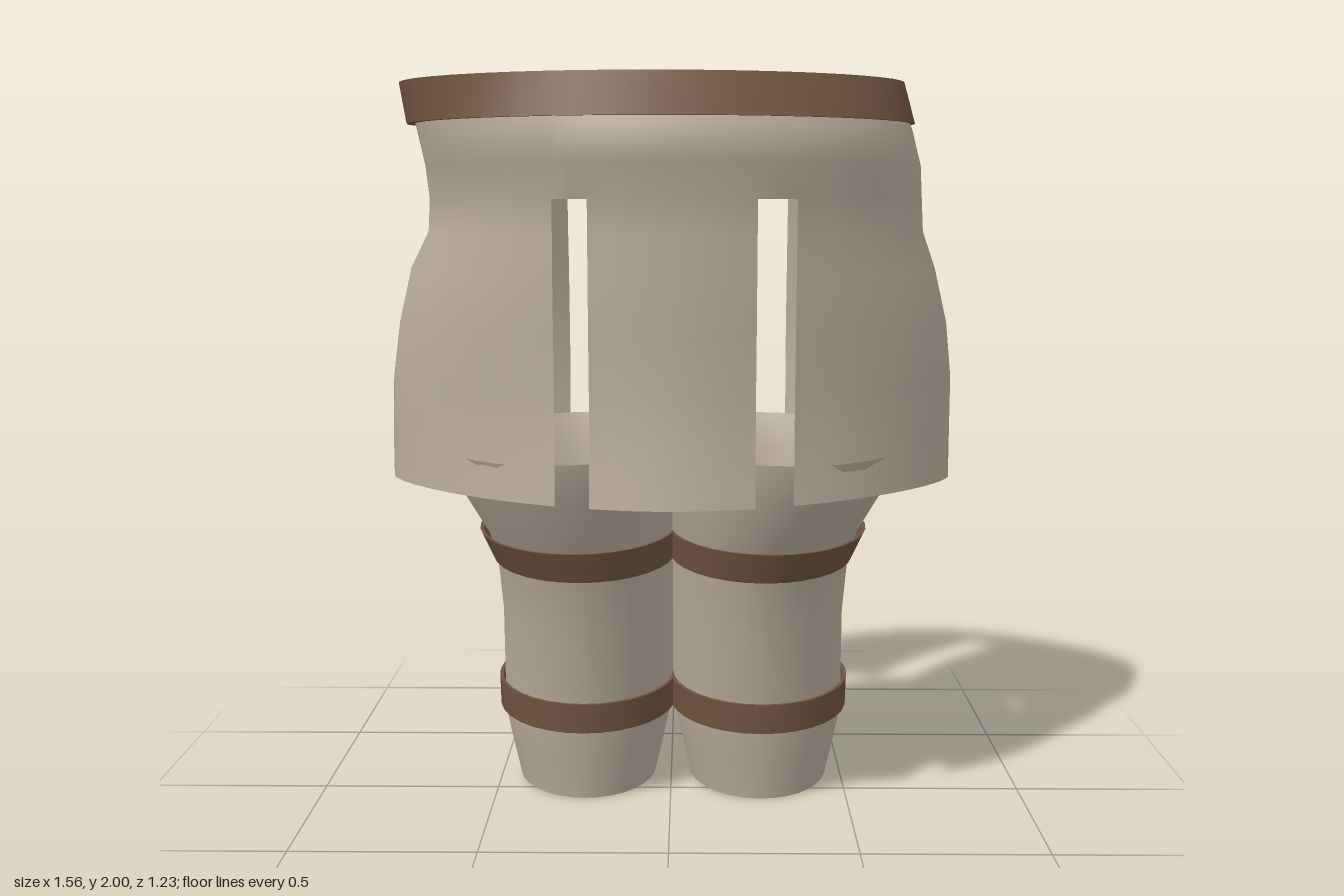
import * as THREE from 'three';
import { toCreasedNormals } from 'three/addons/utils/BufferGeometryUtils.js';

// Joins closed rings of points (bottom to top) into an outward-facing skin.
// skip(row, column) leaves openings.
function loft(rings, skip = () => false) {
  const n = rings[0].length, index = [];
  for (let i = 0; i < rings.length - 1; i++) {
    for (let j = 0; j < n; j++) {
      if (skip(i, j)) continue;
      const a = i * n + j, b = i * n + (j + 1) % n;
      index.push(a, a + n, b, b, a + n, b + n);
    }
  }
  const g = new THREE.BufferGeometry();
  g.setAttribute('position', new THREE.Float32BufferAttribute(rings.flat(2), 3));
  g.setIndex(index);
  g.computeVertexNormals();
  return g;
}

// Skirt sections: y, right x, left x, front depth, back depth,
// then the flatness and taper of the front and of the back
const SKIRT = [
  [0.915, -0.78, 0.78, 0.55, 0.60, 1.8, 0.75, 2.0, 0.6],
  [1.05, -0.78, 0.78, 0.535, 0.61, 1.8, 0.74, 2.0, 0.6],
  [1.20, -0.775, 0.78, 0.53, 0.615, 1.85, 0.72, 2.1, 0.6],
  [1.35, -0.755, 0.765, 0.54, 0.60, 1.95, 0.7, 2.2, 0.61],
  [1.50, -0.72, 0.73, 0.55, 0.577, 2.05, 0.69, 2.4, 0.63],
  [1.60, -0.67, 0.695, 0.552, 0.563, 2.15, 0.68, 2.5, 0.64],
  [1.69, -0.665, 0.69, 0.56, 0.552, 2.2, 0.68, 2.5, 0.65],
  [1.78, -0.675, 0.685, 0.59, 0.54, 2.1, 0.62, 2.2, 0.65],
  [1.87, -0.692, 0.66, 0.61, 0.518, 2.0, 0.55, 1.85, 0.65],
  [1.995, -0.72, 0.615, 0.53, 0.49, 2.0, 0.53, 1.7, 0.66],
];
const BELT = [
  [1.89, -0.70, 0.65, 0.60, 0.515, 2.0, 0.54, 1.8, 0.65],
  [1.89, -0.72, 0.665, 0.62, 0.525, 2.0, 0.54, 1.8, 0.65],
  [2.00, -0.74, 0.635, 0.545, 0.505, 2.0, 0.53, 1.7, 0.66],
  [2.00, -0.72, 0.615, 0.53, 0.49, 2.0, 0.53, 1.7, 0.66],
];

// Slit edges: x positions, first along the front, then along the back
const FRONT_X = [0.32, 0.22, -0.20, -0.29];
const BACK_X = [-0.32, -0.22, 0.24, 0.35];
const SPANS = [2, 8, 2, 16, 2, 8, 2, 16]; // even entries are slits
const SPAN_OF = SPANS.flatMap((count, k) => Array(count).fill(k));

function bodyRing([y, x0, x1, zf, zb, flatF, taperF, flatB, taperB]) {
  const c = (x0 + x1) / 2, r = (x1 - x0) / 2;
  const stops = [
    ...FRONT_X.map((x) => Math.acos((x - c) / r)),
    ...BACK_X.map((x) => 2 * Math.PI - Math.acos((x - c) / r)),
  ];
  stops.push(stops[0] + 2 * Math.PI);
  const ring = [];
  SPANS.forEach((count, k) => {
    for (let s = 0; s < count; s++) {
      const t = stops[k] + (stops[k + 1] - stops[k]) * s / count;
      const front = Math.sin(t) >= 0, u = Math.abs(Math.cos(t));
      const d = Math.pow(Math.max(0, 1 - Math.pow(u, front ? flatF : flatB)), front ? taperF : taperB);
      ring.push([c + r * Math.cos(t), y, front ? zf * d : -zb * d]);
    }
  });
  return ring;
}

// Tilted oval leg section: front y, back y, centre x, half width, front z, back z,
// and how far the front turns outward
function legRing(side, [yf, yb, cx, rx, zf, zb, turn = 0], inset = 0) {
  const ring = [];
  for (let j = 0; j < 32; j++) {
    const t = j / 32 * 2 * Math.PI, s = Math.sin(t);
    ring.push([
      0.005 + side * (cx + turn * s) + (rx - inset) * Math.cos(t),
      yf + (yb - yf) * (1 - s) / 2,
      (zf + zb) / 2 + ((zf - zb) / 2 - inset) * s,
    ]);
  }
  return ring;
}

const LEG = [
  [0.00, 0.03, 0.25, 0.20, 0.09, -0.38],
  [0.10, 0.13, 0.25, 0.223, 0.108, -0.405],
  [0.21, 0.25, 0.25, 0.247, 0.135, -0.435],
  [0.29, 0.33, 0.247, 0.247, 0.145, -0.435],
  [0.50, 0.55, 0.245, 0.246, 0.20, -0.40],
  [0.67, 0.71, 0.25, 0.253, 0.245, -0.395],
  [0.75, 0.79, 0.26, 0.268, 0.285, -0.40],
  [0.90, 0.94, 0.28, 0.32, 0.385, -0.41, 0.02],
  [1.01, 1.04, 0.28, 0.36, 0.42, -0.45, 0.04],
];
const LEG_BANDS = {
  lowerBand: [[0.21, 0.245, 0.25, 0.258, 0.152, -0.45], [0.295, 0.33, 0.25, 0.26, 0.16, -0.452]],
  upperBand: [[0.665, 0.705, 0.252, 0.261, 0.26, -0.408], [0.75, 0.79, 0.267, 0.283, 0.297, -0.415]],
};

export function createModel() {
  const cloth = new THREE.MeshStandardMaterial({ color: 0xb9ac9d, side: THREE.DoubleSide });
  cloth.name = 'taupe cloth';
  const leather = new THREE.MeshStandardMaterial({ color: 0x6e5340, side: THREE.DoubleSide });
  leather.name = 'brown leather';

  const model = new THREE.Group();
  model.name = 'skirtedTrousers';
  const add = (parent, name, geometry, material) => {
    const mesh = new THREE.Mesh(geometry, material);
    mesh.name = name;
    parent.add(mesh);
  };

  // Skirt with four slits running up from the hem
  const slit = (i, j) => SKIRT[i][0] < 1.69 && SPAN_OF[j] % 2 === 0;
  add(model, 'skirt', loft(SKIRT.map(bodyRing), slit), cloth);
  add(model, 'waistband', toCreasedNormals(loft(BELT.map(bodyRing)), 0.7), leather);

  // Trouser legs, each with two bands
  for (const [name, side] of [['leftLeg', 1], ['rightLeg', -1]]) {
    const leg = new THREE.Group();
    leg.name = name;
    add(leg, 'trouserLeg', loft(LEG.map((row) => legRing(side, row))), cloth);
    for (const [band, [low, high]] of Object.entries(LEG_BANDS)) {
      const rings = [legRing(side, low, 0.01), legRing(side, low), legRing(side, high), legRing(side, high, 0.01)];
      add(leg, band, toCreasedNormals(loft(rings), 0.7), leather);
    }
    model.add(leg);
  }
  return model;
}
